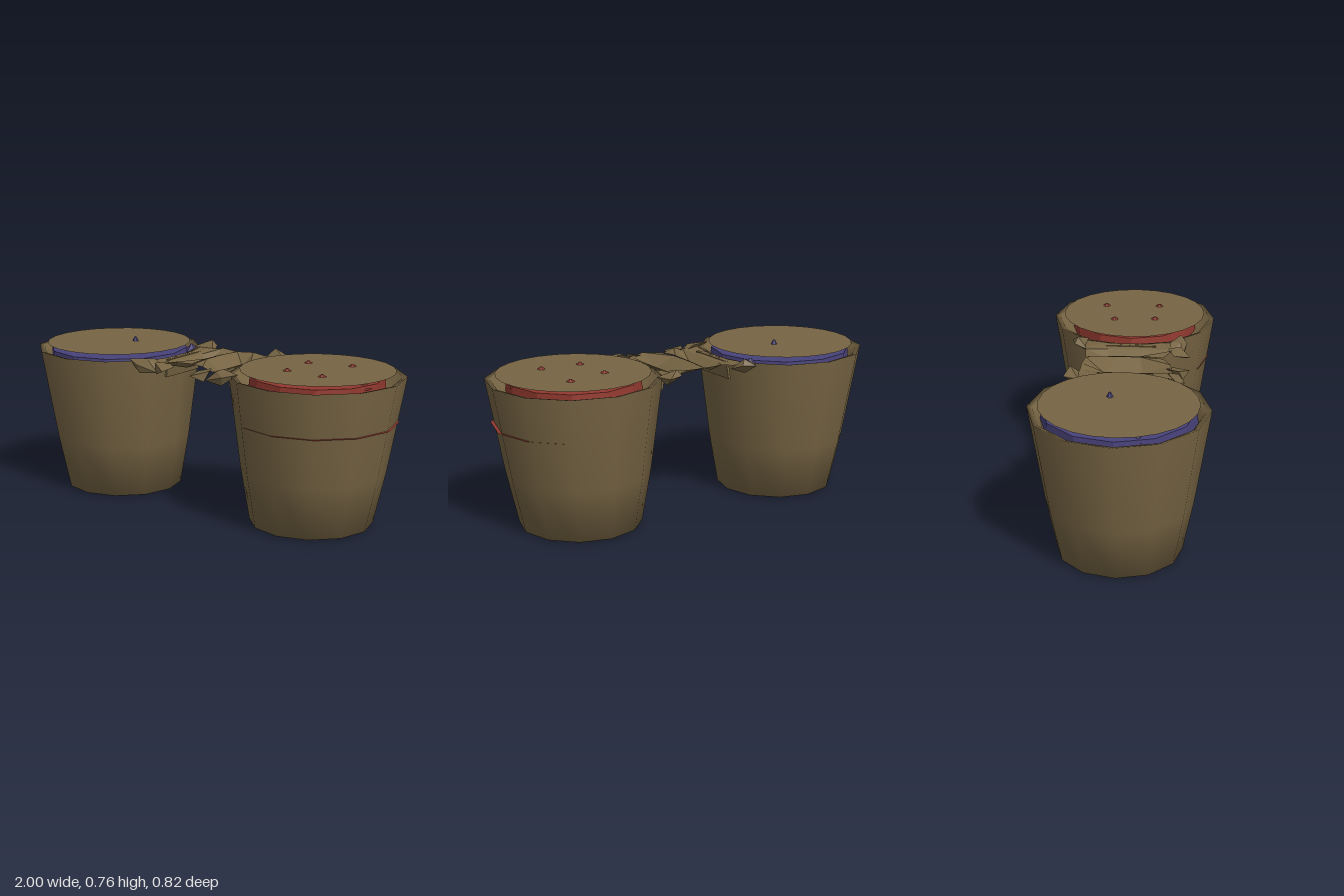
import * as THREE from 'three';
import { ConvexGeometry } from 'three/addons/geometries/ConvexGeometry.js';

const mat = (name, color, extra = {}) => {
  const m = new THREE.MeshStandardMaterial({ color, ...extra });
  m.name = name;
  return m;
};

export function createModel() {
  const root = new THREE.Group();
  root.name = 'twinBuckets';
  const brown = mat('brown', 0x766443);
  const brownSheet = mat('brownSheet', 0x766443, { side: THREE.DoubleSide, flatShading: true });
  const blue = mat('blue', 0x48427a, { flatShading: true });
  const red = mat('red', 0x91392f, { flatShading: true, side: THREE.DoubleSide });

  const add = (parent, name, geo, material) => {
    const m = new THREE.Mesh(geo, material);
    m.name = name;
    parent.add(m);
    return m;
  };

  const addDisc = (parent, name, r, sides, [x, y, z], material) => {
    const disc = add(parent, name, new THREE.CircleGeometry(r, sides), material);
    disc.rotation.x = -Math.PI / 2;
    disc.position.set(x, y, z);
  };

  // Twelve-sided lathe whose axis leans slightly outward towards the top
  const lathe = (pts, s) => {
    const g = new THREE.LatheGeometry(pts.map(p => new THREE.Vector2(...p)), 12);
    const pos = g.attributes.position;
    for (let i = 0; i < pos.count; i++)
      pos.setX(i, pos.getX(i) + s * (0.567 + 0.022 * pos.getY(i) / 0.71));
    return g;
  };

  // Peaks: x, z, top height, base radius
  const fill = {
    '-1': [[-0.52, -0.045, 0.757, 0.036], [-0.272, -0.188, 0.725, 0.036], [-0.78, 0.12, 0.733, 0.035],
      [-0.7, -0.1, 0.733, 0.035], [-0.62, 0.13, 0.733, 0.035], [-0.88, 0.1, 0.716, 0.03]],
    '1': [[0.48, -0.095, 0.746, 0.08], [0.685, -0.15, 0.746, 0.08], [0.495, 0.11, 0.746, 0.08],
      [0.69, 0.125, 0.746, 0.08], [0.84, 0.04, 0.725, 0.06]],
  };

  for (const s of [-1, 1]) {
    const bucket = new THREE.Group();
    bucket.name = s > 0 ? 'leftBucket' : 'rightBucket';
    root.add(bucket);
    const inner = s > 0 ? 0.315 : 0.35;
    // Base, wall and rim in one smooth shell
    add(bucket, 'shell', lathe([[0, 0], [0.16, 0], [0.291, 0.006], [0.341, 0.26], [0.41, 0.71],
      [0.385, 0.704], [0.362, 0.67], [inner, 0.65]], s), brown);

    // Heaped contents under a thin lid
    const material = s > 0 ? red : blue;
    add(bucket, 'contents', lathe([[inner, 0.65], [inner - 0.005, 0.708], [0, 0.708]], s), material);
    for (const [x, z, top, r] of fill[s]) {
      const h = top - 0.69;
      const peak = add(bucket, 'peak', new THREE.CylinderGeometry(0.005, r, h, 6), material);
      peak.position.set(x, 0.69 + h / 2, z);
    }
    addDisc(bucket, 'lid', 0.36, 24, [s * 0.59, 0.735, 0], brownSheet);
    // Thin layer whose edge shows through the outer wall
    if (s > 0) addDisc(bucket, 'layer', 0.376, 12, [0.598, 0.5, 0.01], red);
  }

  // Yoke: cross-sections from the middle outwards, each a row of points
  const rows = [
    [[0, 0.715, -0.2], [0.002, 0.722, -0.05], [0.004, 0.722, 0.06], [0.004, 0.715, 0.17]],
    [[0.09, 0.72, -0.21], [0.1, 0.67, -0.1], [0.1, 0.67, 0.08], [0.09, 0.72, 0.21]],
    [[0.15, 0.71, -0.215], [0.15, 0.7, -0.1], [0.15, 0.7, 0.1], [0.15, 0.705, 0.22]],
    [[0.25, 0.708, -0.22], [0.2, 0.711, -0.1], [0.2, 0.711, 0.1], [0.25, 0.708, 0.22]],
  ];
  const claws = {
    backClaw: [[0.15, 0.69, -0.2], [0.17, 0.715, -0.27], [0.24, 0.71, -0.285], [0.19, 0.745, -0.255],
      [0.25, 0.7, -0.23], [0.27, 0.71, -0.21], [0.22, 0.665, -0.22]],
    frontClaw: [[0.07, 0.7, 0.22], [0.08, 0.69, 0.3], [0.14, 0.665, 0.27], [0.13, 0.715, 0.19],
      [0.16, 0.715, 0.25]],
    frontHook: [[0.14, 0.69, 0.2], [0.2, 0.722, 0.2], [0.32, 0.717, 0.25], [0.24, 0.66, 0.27],
      [0.14, 0.67, 0.26], [0.2, 0.72, 0.25], [0.25, 0.7, 0.28]],
  };
  for (const s of [-1, 1]) {
    const yoke = new THREE.Group();
    yoke.name = s > 0 ? 'leftYoke' : 'rightYoke';
    root.add(yoke);
    const verts = [];
    const at = (i, j) => [s * rows[i][j][0], rows[i][j][1], rows[i][j][2]];
    for (let i = 0; i < 3; i++)
      for (let j = 0; j < 3; j++) {
        const [a, b, c, d] = [at(i, j), at(i, j + 1), at(i + 1, j + 1), at(i + 1, j)];
        const tris = s > 0 ? [a, b, c, a, c, d] : [a, c, b, a, d, c];
        verts.push(...tris.flat());
      }
    const web = new THREE.BufferGeometry();
    web.setAttribute('position', new THREE.Float32BufferAttribute(verts, 3));
    web.computeVertexNormals();
    add(yoke, 'web', web, brownSheet);
    for (const [name, pts] of Object.entries(claws))
      add(yoke, name, new ConvexGeometry(pts.map(([x, y, z]) => new THREE.Vector3(s * x, y, z))), brownSheet);
    // Tab resting against the bucket wall
    const tab = add(yoke, 'tab', new THREE.BoxGeometry(0.012, 0.09, 0.26), brown);
    tab.position.set(s * 0.186, 0.665, 0);
    tab.rotation.z = s * 0.15;
  }
  return root;
}
